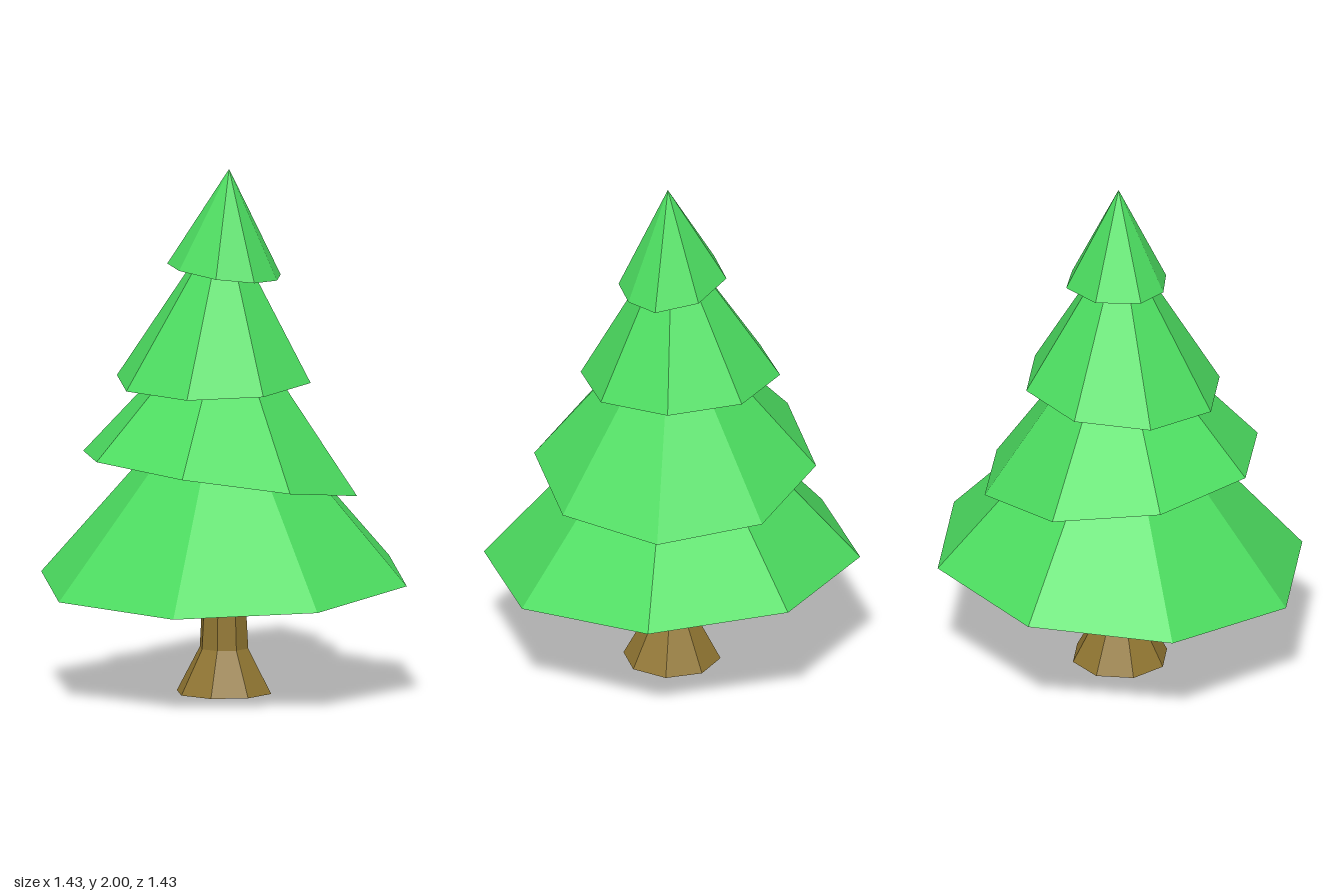
import * as THREE from 'three';

const SIDES = 8;
const green = new THREE.MeshStandardMaterial({ color: 0x4cdd60, flatShading: true });
const brown = new THREE.MeshStandardMaterial({ color: 0x917632, flatShading: true });

// One tier of foliage: a tilted octagonal rim, a pointed top and a hollowed underside.
// slopeX and slopeZ say how the rim height changes across the tier.
function foliageTier({ name, x = 0, y, radius, slopeX = 0, slopeZ = 0, apex, rim }) {
  const tip = new THREE.Vector3(...apex);
  const hollow = new THREE.Vector3(x, y, 0).lerp(tip, 0.27);
  const ring = [];
  for (let i = 0; i < SIDES; i++) {
    const a = (i / SIDES) * Math.PI * 2;
    const [px, pz] = rim ? rim[i] : [x + radius * Math.cos(a), radius * Math.sin(a)];
    ring.push(new THREE.Vector3(px, y + slopeX * (px - x) + slopeZ * pz, pz));
  }
  const points = [];
  ring.forEach((p, i) => {
    const next = ring[(i + 1) % SIDES];
    points.push(tip, next, p); // outer slope
    points.push(hollow, p, next); // underside
  });
  const geometry = new THREE.BufferGeometry().setFromPoints(points);
  geometry.computeVertexNormals();
  const mesh = new THREE.Mesh(geometry, green);
  mesh.name = name;
  return mesh;
}

export function createModel() {
  const tree = new THREE.Group();
  tree.name = 'pineTree';

  // Trunk with a flared foot
  const profile = [[0, 0], [0.185, 0], [0.095, 0.17], [0.08, 0.45], [0.07, 0.75], [0, 0.75]];
  const trunk = new THREE.Mesh(
    new THREE.LatheGeometry(profile.map(([r, h]) => new THREE.Vector2(r, h)), SIDES),
    brown
  );
  trunk.name = 'trunk';
  tree.add(trunk);

  // Foliage, from the lowest tier to the treetop
  const tiers = [
    { name: 'lowestFoliage', y: 0.433, radius: 0.717, slopeZ: -0.073, apex: [0, 1.245, 0] },
    { name: 'lowerFoliage', x: -0.015, y: 0.835, radius: 0.537, slopeX: -0.121, slopeZ: 0.097, apex: [0.01, 1.5, -0.01] },
    { name: 'upperFoliage', x: -0.04, y: 1.195, radius: 0.38, slopeZ: -0.073, apex: [0, 1.82, 0] },
    {
      name: 'treetop', y: 1.606, slopeX: -0.12, apex: [0.02, 2, 0],
      // slightly uneven rim, as x and z
      rim: [[0.208, 0], [0.155, 0.13], [0.02, 0.187], [-0.14, 0.13],
        [-0.217, 0.02], [-0.152, -0.14], [0.03, -0.203], [0.185, -0.135]],
    },
  ];
  tiers.forEach((tier) => tree.add(foliageTier(tier)));

  return tree;
}
